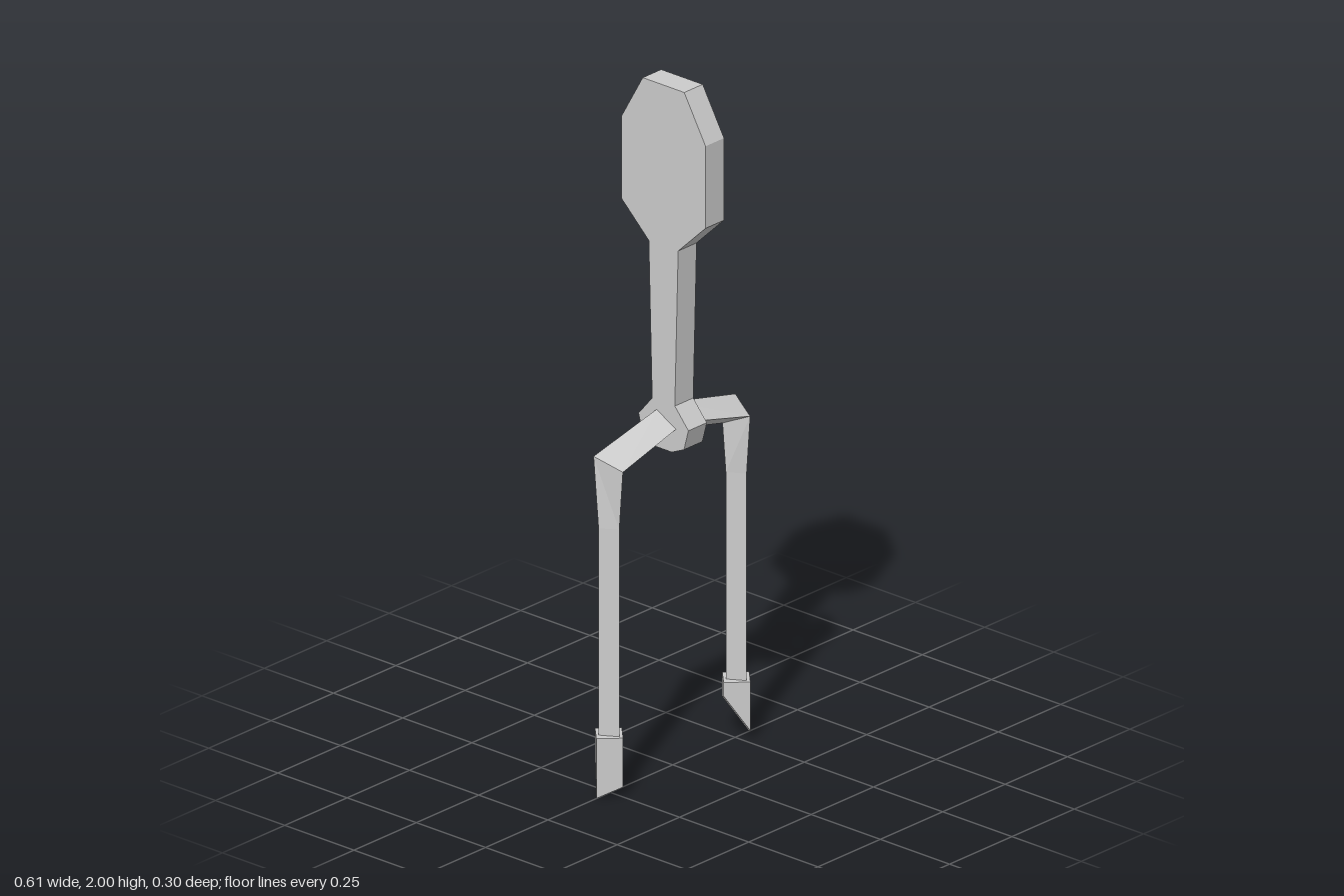
import * as THREE from 'three';

const material = new THREE.MeshStandardMaterial({ color: 0xcccccc, flatShading: true });

// Skin rings of [x, y, z] points and cap both ends; side = -1 mirrors in x
function loft(name, rings, side) {
  const n = rings[0].length;
  const pos = [];
  const tri = (a, b, c) => {
    for (const p of side > 0 ? [a, b, c] : [a, c, b]) pos.push(p[0] * side, p[1], p[2]);
  };
  for (let i = 0; i < rings.length - 1; i++) {
    for (let j = 0; j < n; j++) {
      const k = (j + 1) % n;
      tri(rings[i][j], rings[i][k], rings[i + 1][k]);
      tri(rings[i][j], rings[i + 1][k], rings[i + 1][j]);
    }
  }
  const first = rings[0], last = rings[rings.length - 1];
  for (let j = 1; j < n - 1; j++) {
    tri(first[0], first[j + 1], first[j]);
    tri(last[0], last[j], last[j + 1]);
  }
  const geometry = new THREE.BufferGeometry();
  geometry.setAttribute('position', new THREE.Float32BufferAttribute(pos, 3));
  geometry.computeVertexNormals();
  const mesh = new THREE.Mesh(geometry, material);
  mesh.name = name;
  return mesh;
}

// Flat paddle, neck and hub, extruded across x from half a [z, y] outline
function createBody() {
  const half = [
    [0.075, 2], [0.152, 1.865], [0.152, 1.625], [0.053, 1.53],
    [0.041, 1.073], [0.09, 1.015], [0.074, 0.955], [0.03, 0.935],
  ];
  const outline = [...half, ...half.map(([z, y]) => [-z, y]).reverse()];
  const shape = new THREE.Shape(outline.map(([z, y]) => new THREE.Vector2(z, y)));
  const geometry = new THREE.ExtrudeGeometry(shape, { depth: 0.074, bevelEnabled: false });
  geometry.translate(0, 0, -0.037).rotateY(-Math.PI / 2);
  const mesh = new THREE.Mesh(geometry, material);
  mesh.name = 'paddleBody';
  return mesh;
}

export function createModel() {
  const group = new THREE.Group();
  group.name = 'paddleOnLegs';
  group.add(createBody());

  // Triangular arm and leg: hub, knee, taper, ankle
  const legSection = (y) => [[0.284, y, -0.012], [0.255, y, 0.037], [0.226, y, -0.012]];
  const limb = [
    [[0.03, 1.046, -0.025], [0.03, 1.008, 0.045], [0.03, 0.966, -0.025]],
    [[0.284, 0.985, -0.03], [0.255, 0.952, 0.05], [0.226, 0.92, -0.024]],
    legSection(0.78),
    legSection(0.16),
  ];

  // Diamond foot cut off at a slant, lowest at the outside
  const foot = [
    [[0.306, 0.175, 0], [0.255, 0.175, 0.051], [0.204, 0.175, 0], [0.255, 0.175, -0.051]],
    [[0.306, 0, 0], [0.255, 0.032, 0.051], [0.204, 0.135, 0], [0.255, 0.103, -0.051]],
  ];

  for (const [label, side] of [['left', 1], ['right', -1]]) {
    group.add(loft(label + 'Leg', limb, side), loft(label + 'Foot', foot, side));
  }
  return group;
}
